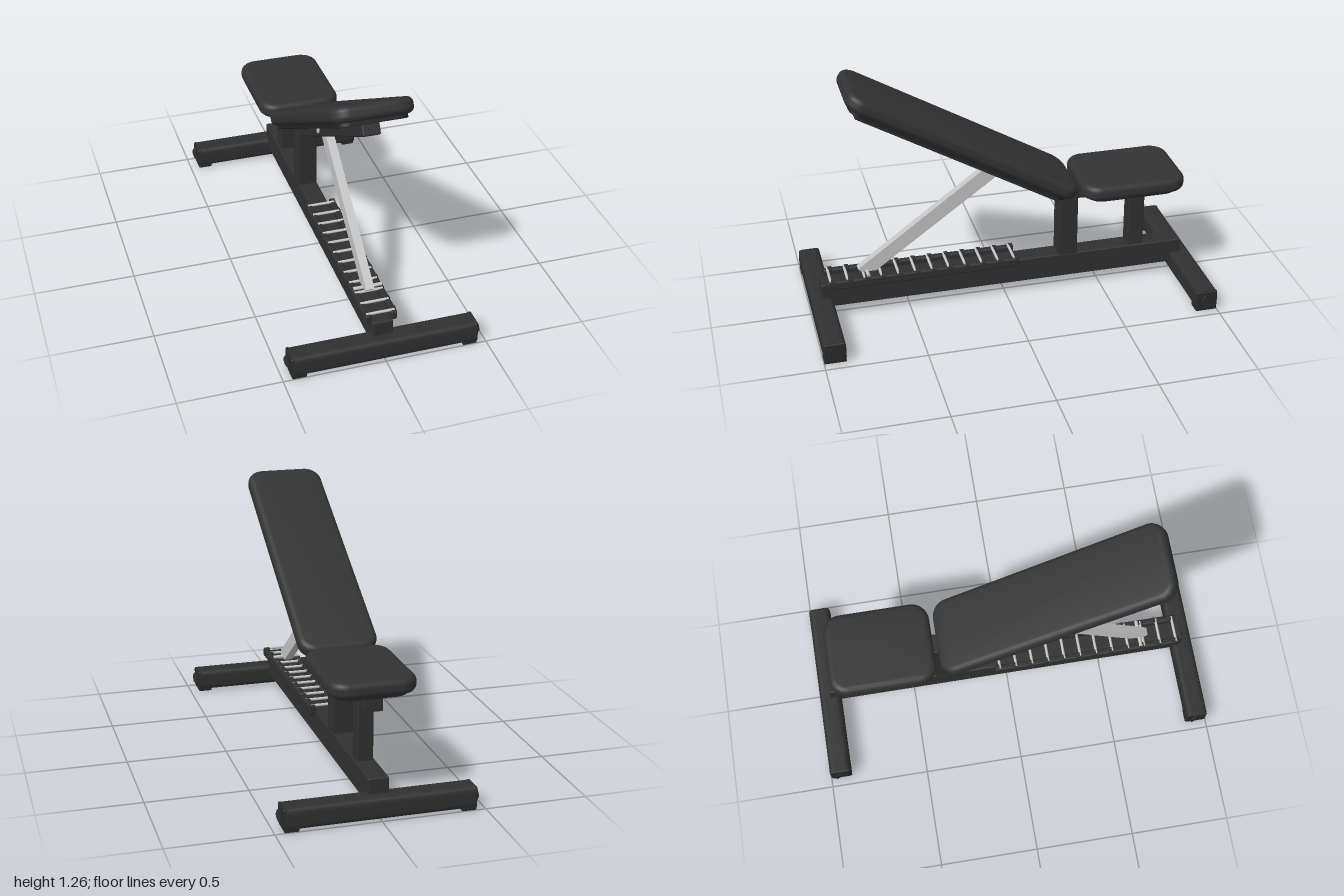
import * as THREE from 'three';
import { toCreasedNormals } from 'three/addons/utils/BufferGeometryUtils.js';
import { RoundedBoxGeometry } from 'three/addons/geometries/RoundedBoxGeometry.js';

const material = (name, color) => Object.assign(new THREE.MeshStandardMaterial({ color }), { name });

// Rounded rectangle centred on the origin
function roundedRect(w, h, r) {
  const s = new THREE.Shape();
  const x = w / 2, y = h / 2;
  s.absarc(x - r, y - r, r, 0, Math.PI / 2);
  s.absarc(-x + r, y - r, r, Math.PI / 2, Math.PI);
  s.absarc(-x + r, -y + r, r, Math.PI, Math.PI * 1.5);
  s.absarc(x - r, -y + r, r, Math.PI * 1.5, Math.PI * 2);
  return s;
}

// Horizontal cushion or board: soft plan corners and a rolled edge
function slab(w, thick, length, corner, edge) {
  const geo = new THREE.ExtrudeGeometry(roundedRect(w - 2 * edge, length - 2 * edge, corner - edge), {
    depth: thick - 2 * edge, bevelEnabled: true, bevelThickness: edge, bevelSize: edge,
    bevelSegments: 5, curveSegments: 10,
  });
  geo.translate(0, 0, edge - thick / 2).rotateX(-Math.PI / 2);
  return toCreasedNormals(geo, 0.7);
}

// Side outline given as [z, y] points, extruded across x
function sideProfile(points, width) {
  const shape = new THREE.Shape(points.map(([z, y]) => new THREE.Vector2(-z, y)));
  const geo = new THREE.ExtrudeGeometry(shape, { depth: width, bevelEnabled: false });
  return geo.translate(0, 0, -width / 2).rotateY(Math.PI / 2);
}

export function createModel() {
  const bench = new THREE.Group();
  bench.name = 'adjustableBench';
  const frame = material('frameBlack', 0x303030);
  const vinyl = material('vinylBlack', 0x333333);
  const board = material('boardBlack', 0x242424);
  const rubber = material('rubberBlack', 0x292929);
  const steel = material('steel', 0xc4c4c4);

  const add = (name, geo, mat, x, y, z, parent = bench) => {
    const mesh = new THREE.Mesh(geo, mat);
    mesh.name = name;
    mesh.position.set(x, y, z);
    parent.add(mesh);
    return mesh;
  };
  const tube = (w, h, d, r = 0.008) => new RoundedBoxGeometry(w, h, d, 2, r);
  const pin = (r, length) => new THREE.CylinderGeometry(r, r, length, 16).rotateZ(Math.PI / 2);

  // Main beam
  add('mainBeam', tube(0.1, 0.13, 1.89), frame, 0, 0.125, 0);

  // Cross feet with end caps and rubber pads
  for (const end of [1, -1]) {
    const foot = new THREE.Group();
    foot.name = end > 0 ? 'frontFoot' : 'rearFoot';
    foot.position.z = end * 0.945;
    bench.add(foot);
    const bar = new THREE.ExtrudeGeometry(roundedRect(0.11, 0.108, 0.025), {
      depth: 0.904, bevelEnabled: false, curveSegments: 6,
    });
    bar.translate(0, 0, -0.452).rotateY(Math.PI / 2);
    add('footBar', toCreasedNormals(bar, 0.6), frame, 0, 0.061, 0, foot);
    for (const side of [1, -1]) {
      add('endCap', tube(0.02, 0.104, 0.106, 0.009), rubber, side * 0.45, 0.06, 0, foot);
      add('capInset', new THREE.CylinderGeometry(0.036, 0.036, 0.004, 8).rotateX(Math.PI / 8)
        .rotateZ(Math.PI / 2), frame, side * 0.459, 0.06, 0, foot);
      add('footPad', tube(0.07, 0.04, 0.108, 0.004), rubber, side * 0.42, 0.02, 0, foot);
    }
  }

  // Adjustment ladder: two side rails and a row of steel rungs
  for (const side of [1, -1]) {
    add('ladderRail', tube(0.032, 0.048, 0.985, 0.01), frame, side * 0.063, 0.193, 0.4275);
  }
  for (let i = 0; i < 12; i++) {
    const z = 0.9 - i * 0.0855;
    add('ladderRung', pin(0.007, 0.14), steel, 0, 0.215, z);
    for (const side of [1, -1]) {
      add('ladderTooth', tube(0.03, 0.014, 0.024, 0.004), frame, side * 0.063, 0.215, z - 0.012);
    }
  }

  // Uprights
  add('hingePost', tube(0.1, 0.38, 0.1), frame, 0, 0.375, -0.33);
  add('seatPost', tube(0.08, 0.34, 0.084), frame, 0, 0.35, -0.697);

  // Seat
  add('seatRail', sideProfile([[-0.375, 0.56], [-0.375, 0.505], [-0.865, 0.48], [-0.865, 0.55]], 0.08),
    frame, 0, 0, 0);
  add('seatBoard', slab(0.35, 0.022, 0.46, 0.07, 0.004), board, 0, 0.552, -0.638);
  add('seatCushion', slab(0.42, 0.078, 0.535, 0.09, 0.03), vinyl, 0, 0.596, -0.638);

  // Backrest, tilted thirty degrees; local z runs up along the cushion
  const back = new THREE.Group();
  back.name = 'backrest';
  back.rotation.x = -Math.PI / 6;
  bench.add(back);
  add('backCushion', slab(0.394, 0.076, 1.3, 0.085, 0.03), vinyl, 0, 0.68, 0.647, back);
  add('backBoard', slab(0.34, 0.024, 1.22, 0.06, 0.004), board, 0, 0.635, 0.647, back);
  add('backRail', tube(0.086, 0.075, 1.19), frame, 0, 0.603, 0.585, back);

  // Support strut from the ladder to the back rail
  add('supportStrut', sideProfile([[0.755, 0.24], [0.737, 0.222], [0.663, 0.222],
    [0.04, 0.675], [0.05, 0.725], [0.1, 0.725]], 0.042), steel, 0, 0, 0);
  add('strutCrossPin', pin(0.009, 0.14), steel, 0, 0.226, 0.71);

  // Pivot bolts
  add('strutPivotBolt', pin(0.018, 0.1), steel, 0, 0.728, 0.06);
  add('hingeBolt', pin(0.018, 0.136), steel, 0, 0.55, -0.33);

  return bench;
}
